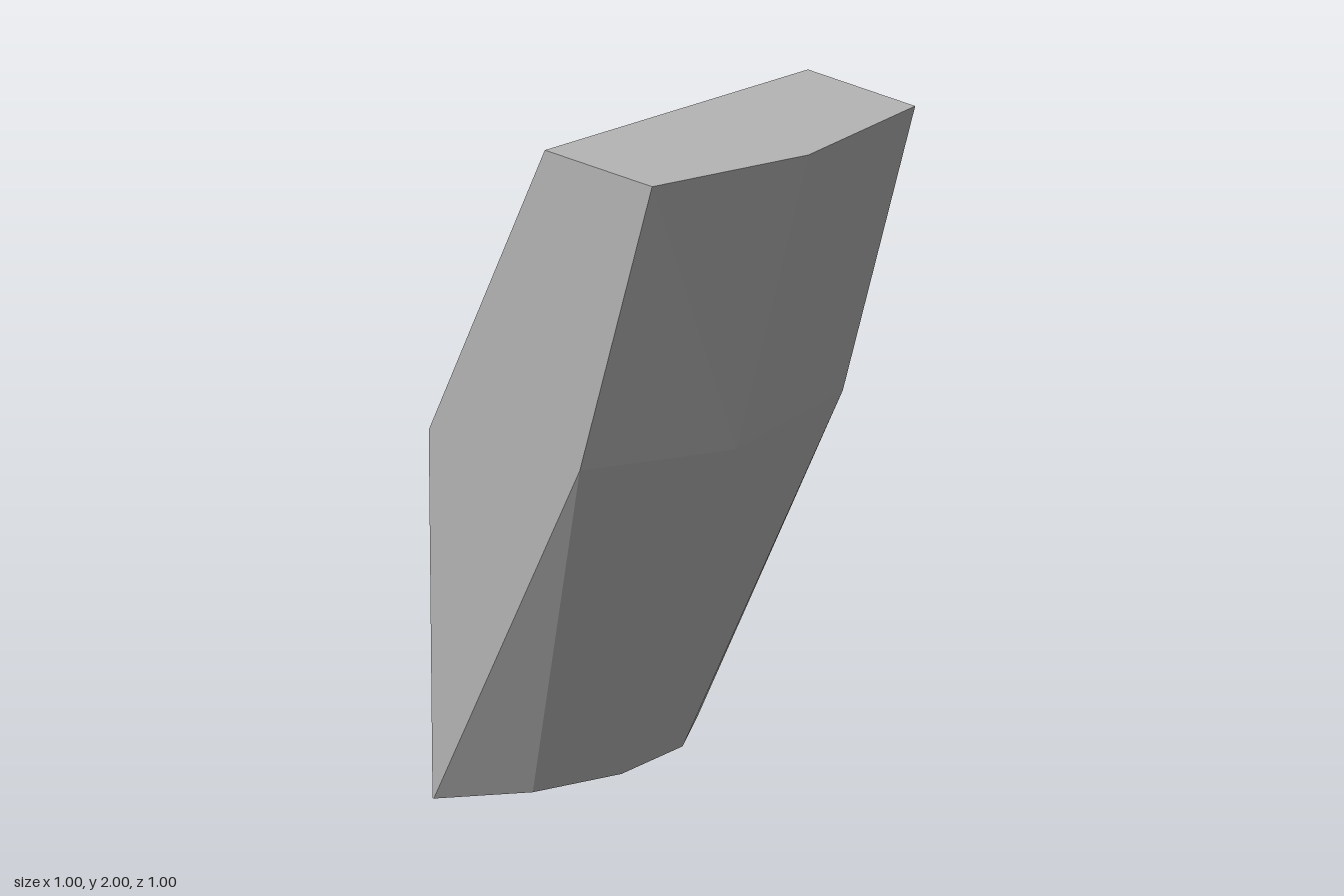
import * as THREE from 'three';

// One horizontal section, running from the left back corner round the front to the right back
function section(back, corner, shoulder, ridge) {
  const left = [back, corner, shoulder].map((p) => new THREE.Vector3(...p));
  const right = left.map((p) => new THREE.Vector3(-p.x, p.y, p.z)).reverse();
  return [...left, new THREE.Vector3(...ridge), ...right];
}

export function createModel() {
  const grey = new THREE.MeshStandardMaterial({ color: 0xb4b4b4, flatShading: true });
  grey.name = 'grey';

  // Sections from the ground up; repeated points collapse a facet to a triangle
  const rings = [
    section([0.5, 0, -0.48], [0.5, 0, -0.475], [0.285, 0.01, -0.305], [0, 0.01, -0.25]),
    section([0.5, 1.07, -0.495], [0.5, 1.1, 0.11], [0, 1.07, 0.21], [0, 1.07, 0.21]),
    section([0.5, 2, -0.03], [0.5, 2, 0.4], [0, 2, 0.5], [0, 2, 0.5]),
  ];

  const positions = [];
  const triangle = (a, b, c) => {
    if (new THREE.Triangle(a, b, c).getArea() < 1e-6) return;
    for (const p of [a, b, c]) positions.push(p.x, p.y, p.z);
  };

  // Walls, with the diagonals mirrored across the middle
  const n = rings[0].length;
  for (let r = 0; r < rings.length - 1; r++) {
    for (let i = 0; i < n; i++) {
      const j = (i + 1) % n;
      const a = rings[r][i], b = rings[r][j], c = rings[r + 1][j], d = rings[r + 1][i];
      if (i < 3) {
        triangle(b, a, d);
        triangle(b, d, c);
      } else {
        triangle(a, d, c);
        triangle(a, c, b);
      }
    }
  }

  // Bottom and top faces
  const bottom = rings[0], top = rings[rings.length - 1];
  for (let i = 1; i < n - 1; i++) {
    triangle(bottom[0], bottom[i], bottom[i + 1]);
    triangle(top[0], top[i + 1], top[i]);
  }

  const geometry = new THREE.BufferGeometry();
  geometry.setAttribute('position', new THREE.Float32BufferAttribute(positions, 3));
  geometry.computeVertexNormals();

  const block = new THREE.Mesh(geometry, grey);
  block.name = 'facetedBlock';
  const model = new THREE.Group();
  model.name = 'leaningBlock';
  model.add(block);
  return model;
}
